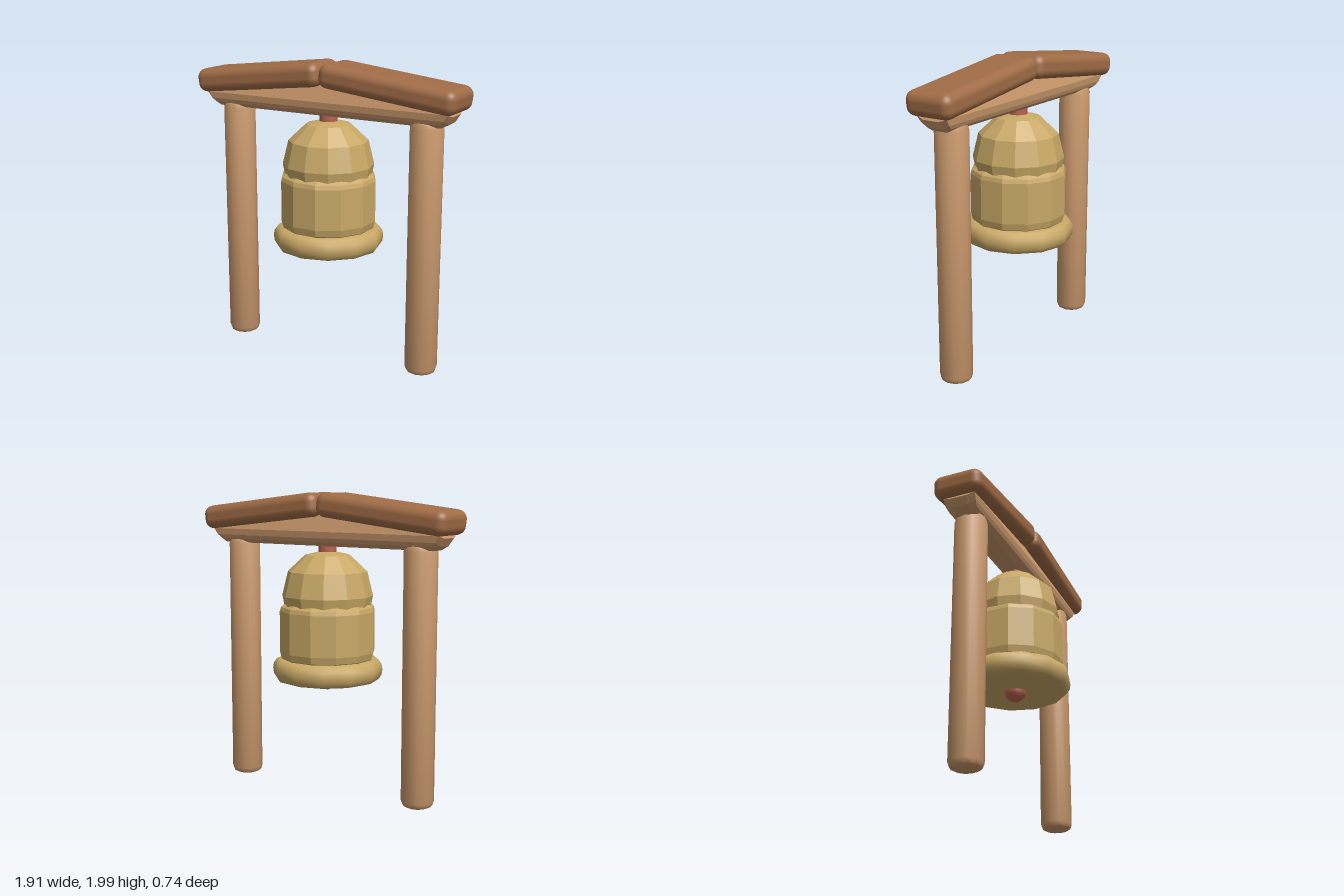
import * as THREE from 'three';
import { RoundedBoxGeometry } from 'three/addons/geometries/RoundedBoxGeometry.js';
import { ConvexGeometry } from 'three/addons/geometries/ConvexGeometry.js';
import { toCreasedNormals } from 'three/addons/utils/BufferGeometryUtils.js';

const mat = (color, flatShading = false) => new THREE.MeshStandardMaterial({ color, flatShading });

// Twelve-sided turned shape from [radius, height] pairs, listed bottom to top
function turned(profile, turn = 0) {
  const points = profile.map(([r, y]) => new THREE.Vector2(r, y));
  return new THREE.LatheGeometry(points, 12, turn);
}

export function createModel() {
  const model = new THREE.Group();
  const paleWood = mat(0xc8976b);
  const paleWoodFlat = mat(0xc8976b, true);
  const darkWood = mat(0xa06c46);
  const brass = mat(0xc8a866);
  const brassFlat = mat(0xc8a866, true);
  const red = mat(0xb9624f);

  const add = (name, geometry, material) => {
    const mesh = new THREE.Mesh(geometry, material);
    mesh.name = name;
    model.add(mesh);
    return mesh;
  };

  // Round posts with softened ends, and the two sloping roof slabs
  const postShape = toCreasedNormals(turned([
    [0, 0], [0.075, 0], [0.096, 0.011], [0.107, 0.04],
    [0.107, 1.64], [0.096, 1.67], [0.075, 1.68], [0, 1.68],
  ]), 0.75);
  const roofShape = new RoundedBoxGeometry(0.955, 0.158, 0.335, 3, 0.06);
  for (const [side, s] of [['left', 1], ['right', -1]]) {
    add(side + 'Post', postShape, paleWood).position.x = s * 0.706;
    const slab = add(side + 'RoofSlab', roofShape, darkWood);
    slab.position.set(s * 0.476, 1.867, 0);
    slab.rotation.z = -s * 0.115;
  }

  // Crossbeam: rounded underside rising to a low gable
  const corners = [];
  for (const z of [-1, 1]) {
    for (const x of [-1, 1]) {
      for (const [px, py, pz] of [
        [0.82, 1.647, 0.055], [0.87, 1.675, 0.05], [0.83, 1.675, 0.095],
        [0.86, 1.7, 0.105], [0.9, 1.725, 0.06], [0.89, 1.742, 0.11],
      ]) corners.push(new THREE.Vector3(x * px, py, z * pz));
    }
    corners.push(new THREE.Vector3(0, 1.85, z * 0.07));
  }
  add('crossbeam', new ConvexGeometry(corners), paleWoodFlat);

  // Bell: faceted dome over a waist turned half a facet, on a rolled lip
  add('bellDome', turned([
    [0, 1.2], [0.27, 1.22], [0.288, 1.25], [0.302, 1.32], [0.263, 1.48], [0.148, 1.588], [0, 1.622],
  ]), brassFlat);
  add('bellWaist', turned([
    [0, 0.87], [0.285, 0.88], [0.308, 0.905], [0.32, 0.95],
    [0.32, 1.22], [0.312, 1.247], [0.285, 1.266], [0, 1.27],
  ], Math.PI / 12), brassFlat);
  add('bellLip', toCreasedNormals(turned([
    [0, 0.75], [0.31, 0.75], [0.343, 0.76], [0.363, 0.79], [0.368, 0.825],
    [0.363, 0.86], [0.343, 0.89], [0.31, 0.9], [0, 0.9],
  ]), 0.8), brass);

  // Hanger between bell and beam, and the clapper tip
  add('hanger', new THREE.CylinderGeometry(0.06, 0.06, 0.1, 12), red).position.y = 1.635;
  add('clapper', turned([
    [0, 0.68], [0.035, 0.694], [0.062, 0.72], [0.075, 0.755], [0.062, 0.79], [0, 0.82],
  ]), red);

  return model;
}
